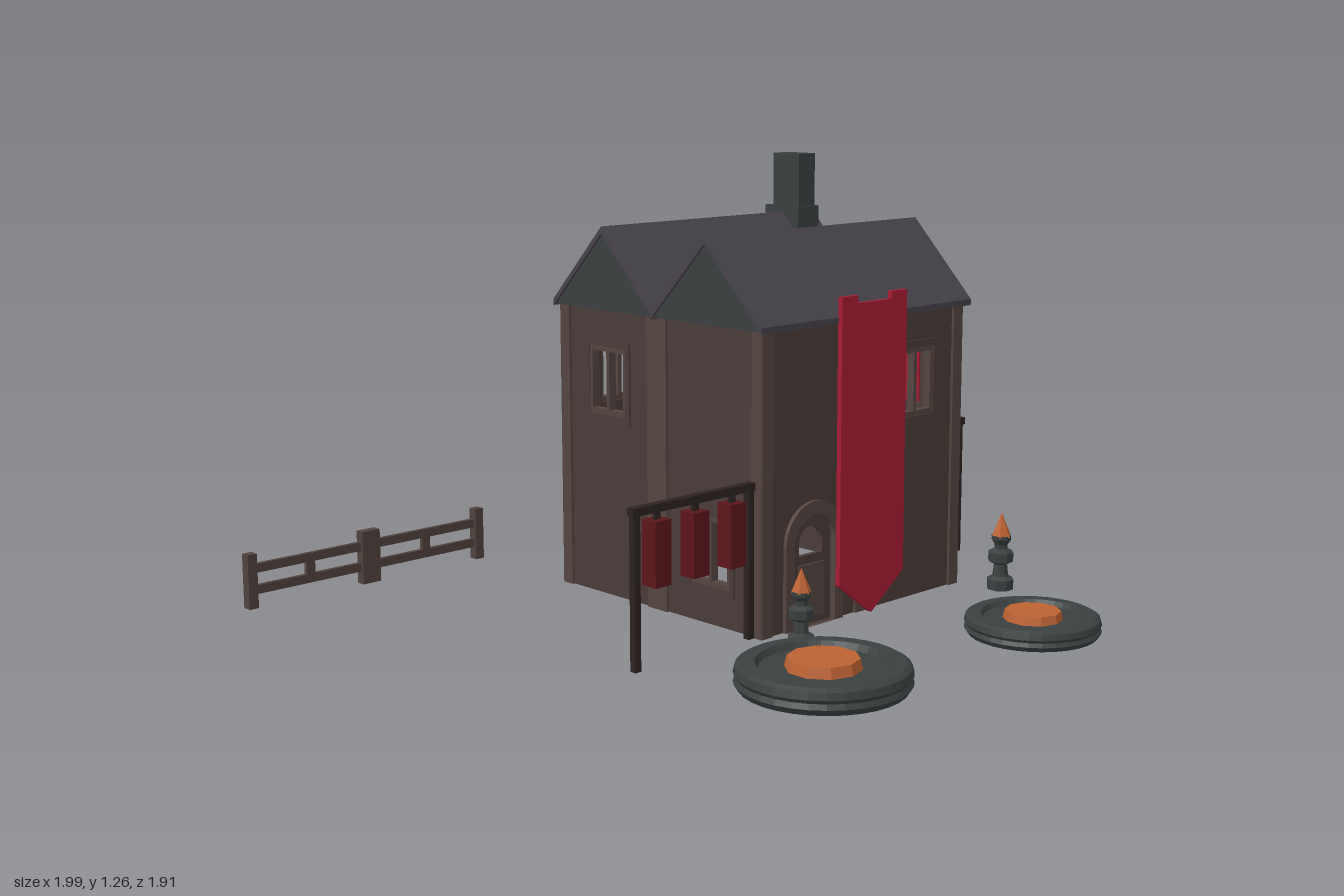
import * as THREE from 'three';

const mat = (color) => new THREE.MeshStandardMaterial({ color, flatShading: true, side: THREE.DoubleSide });
const WALL = mat(0x4a3c39), TRIM = mat(0x54443f), ROOF = mat(0x47424a), STONE = mat(0x3a3f40), DARK = mat(0x2b2221);
const RED = mat(0xa81c35), FLAG = mat(0x5c161b), FIRE = mat(0xbc6233), FENCE = mat(0x50423f);

function add(parent, name, geo, material, x = 0, y = 0, z = 0) {
  const m = new THREE.Mesh(geo, material);
  m.name = name;
  m.position.set(x, y, z);
  parent.add(m);
  return m;
}
function group(parent, name, x = 0, y = 0, z = 0, ry = 0) {
  const g = new THREE.Group();
  g.name = name;
  g.position.set(x, y, z);
  g.rotation.y = ry;
  parent.add(g);
  return g;
}
const box = (w, h, d) => new THREE.BoxGeometry(w, h, d);
const poly = (pts) => new THREE.Shape(pts.map(([x, y]) => new THREE.Vector2(x, y)));
const extrude = (shape, depth) => new THREE.ExtrudeGeometry(shape, { depth, bevelEnabled: false, curveSegments: 8 });
const rect = (cx, cy, w, h) => poly([[cx - w / 2, cy - h / 2], [cx + w / 2, cy - h / 2], [cx + w / 2, cy + h / 2], [cx - w / 2, cy + h / 2]]);

// Round-topped outline: half width r, from y0 up to the springing line y1
function arch(cx, r, y0, y1) {
  const s = new THREE.Shape();
  s.moveTo(cx - r, y0);
  s.lineTo(cx + r, y0);
  s.lineTo(cx + r, y1);
  s.absarc(cx, y1, r, 0, Math.PI, false);
  s.closePath();
  return s;
}
function withHole(shape, ...holes) {
  shape.holes.push(...holes);
  return shape;
}

// Two-light window with stepped surround and central mullion
function addWindow(parent, u, y, curtain) {
  const g = group(parent, 'window', u, y, 0);
  add(g, 'windowSurround', extrude(withHole(rect(0, 0, 0.19, 0.24), rect(0, 0, 0.155, 0.2)), 0.014), WALL, 0, 0, -0.008);
  add(g, 'windowFrame', extrude(withHole(rect(0, 0, 0.16, 0.205), rect(-0.036, 0, 0.06, 0.17), rect(0.036, 0, 0.06, 0.17)), 0.025), TRIM, 0, 0, -0.022);
  if (curtain) add(g, 'curtain', box(0.15, 0.19, 0.006), RED, 0, 0, -0.03);
}

// One wall: openings at u, each { u, y } for a window or { u, door: true }
function addWall(parent, name, x, z, ry, width, openings) {
  const g = group(parent, name, x, 0, z, ry);
  const holes = openings.map((o) => (o.door ? arch(o.u, 0.09, 0.003, 0.235) : rect(o.u, o.y, 0.155, 0.2)));
  add(g, 'wallPanel', extrude(withHole(rect(0, 0.43, width, 0.86), ...holes), 0.03), WALL, 0, 0, -0.03);
  for (const s of [-1, 1]) add(g, 'cornerStrip', box(0.04, 0.85, 0.016), TRIM, s * (width / 2 - 0.014), 0.425, 0);
  add(g, 'middlePilaster', box(0.08, 0.86, 0.016), TRIM, 0, 0.43, 0);
  for (const o of openings) {
    if (!o.door) addWindow(g, o.u, o.y, o.curtain);
    else {
      add(g, 'doorSurround', extrude(withHole(arch(o.u, 0.115, 0, 0.24), arch(o.u, 0.082, 0.001, 0.235)), 0.03), TRIM, 0, 0, -0.018);
      add(g, 'door', extrude(withHole(arch(o.u, 0.09, 0, 0.235), arch(o.u, 0.046, 0.2, 0.235)), 0.015), WALL, 0, 0, -0.022);
      add(g, 'doorPanel', box(0.1, 0.15, 0.01), TRIM, o.u, 0.1, -0.006);
    }
  }
}

// Bar on two posts with three hanging flags, running along local x
function addFlagRack(parent, name, x, z, ry, length, postSpan, flags) {
  const g = group(parent, name, x, 0, z, ry);
  add(g, 'bar', box(length, 0.022, 0.024), DARK, 0, 0.422, 0);
  for (const s of [-1, 1]) add(g, 'post', box(0.02, 0.42, 0.02), DARK, s * postSpan / 2, 0.21, 0);
  for (const u of flags) {
    add(g, 'flag', box(0.055, 0.175, 0.052), FLAG, u, 0.303, 0);
    add(g, 'flagTie', box(0.02, 0.03, 0.01), DARK, u, 0.4, 0);
  }
}

// Round fire pit with recessed top and ember disc
function addFirePit(parent, x, z, r, h) {
  const g = group(parent, 'firePit', x, 0, z);
  const profile = [[0, 0], [0.95, 0], [1, 0.25], [0.97, 0.45], [1, 0.6], [0.98, 0.88], [0.92, 1], [0.76, 1], [0.72, 0.75], [0, 0.75]];
  add(g, 'stoneRing', new THREE.LatheGeometry(profile.map(([a, b]) => new THREE.Vector2(a * r, b * h)), 32), STONE);
  add(g, 'embers', new THREE.CylinderGeometry(r * 0.41, r * 0.44, h * 0.45, 10), FIRE, 0, h * 0.95, 0);
}

// Standing brazier with pointed flame
function addBrazier(parent, x, z, s) {
  const g = group(parent, 'brazier', x, 0, z);
  g.scale.setScalar(s);
  const pts = [[0, 0], [0.04, 0], [0.04, 0.03], [0.024, 0.04], [0.02, 0.075], [0.038, 0.085], [0.038, 0.112], [0.02, 0.122], [0.02, 0.135], [0.03, 0.15], [0.03, 0.162], [0, 0.162]];
  add(g, 'brazierStand', new THREE.LatheGeometry(pts.map(([a, b]) => new THREE.Vector2(a, b)), 8, Math.PI / 8), STONE);
  add(g, 'flame', new THREE.ConeGeometry(0.031, 0.072, 6), FIRE, 0, 0.194, 0);
}

export function createModel() {
  const model = new THREE.Group();
  model.name = 'house';
  const cx = 0.255, cz = -0.12, low = 0.21, high = 0.635, d = 0.212, w = 0.82;

  // Walls, open underneath
  addWall(model, 'frontWall', cx, cz + w / 2, 0, w, [{ u: -d, door: true }, { u: d, y: high }]);
  addWall(model, 'rightWall', cx + w / 2, cz, Math.PI / 2, w, [{ u: -d, y: high, curtain: true }, { u: d, y: low }]);
  addWall(model, 'backWall', cx, cz - w / 2, Math.PI, w, [{ u: -d, y: low }, { u: d, y: high }]);
  addWall(model, 'leftWall', cx - w / 2, cz, -Math.PI / 2, w, [{ u: -d, y: high }, { u: d, y: low }]);

  // Twin gabled roof
  for (const z of [0.094, -0.328]) {
    const g = group(model, 'roof', cx, 0, z, Math.PI / 2);
    const h = 0.217;
    add(g, 'roofSlopes', extrude(poly([[-h, 0.838], [-h, 0.856], [0, 1.082], [h, 0.856], [h, 0.838], [0, 1.062]]), 0.872), ROOF, 0, 0, -0.436);
    add(g, 'gable', extrude(poly([[-h + 0.004, 0.842], [h - 0.004, 0.842], [0, 1.066]]), 0.856), STONE, 0, 0, -0.428);
  }

  // Chimney
  add(model, 'chimneyBase', box(0.09, 0.2, 0.14), STONE, 0.6, 1.0, -0.328);
  add(model, 'chimneyStack', box(0.07, 0.24, 0.11), STONE, 0.605, 1.14, -0.325);

  // Long front banner with notched top and pointed foot
  add(model, 'banner', extrude(poly([[0.12, 0.1], [0.255, 0], [0.39, 0.1], [0.39, 0.912], [0.325, 0.912], [0.325, 0.89], [0.185, 0.89], [0.185, 0.912], [0.12, 0.912]]), 0.015), RED, 0, 0, 0.308);

  // Flag racks beside the house
  addFlagRack(model, 'leftFlagRack', -0.38, 0.26, 0, 0.44, 0.41, [-0.13, 0.005, 0.14]);
  addFlagRack(model, 'rightFlagRack', 0.967, -0.16, Math.PI / 2, 0.46, 0.425, [-0.135, 0, 0.135]);

  addFirePit(model, -0.33, 0.68, 0.228, 0.068);
  addFirePit(model, 0.42, 0.765, 0.187, 0.055);
  addBrazier(model, -0.122, 0.405, 0.94);
  addBrazier(model, 0.715, 0.425, 1);

  // Rear fence
  const fence = group(model, 'fence', -0.583, 0, -0.942);
  for (const [u, pw] of [[-0.402, 0.03], [0, 0.062], [0.402, 0.03]]) add(fence, 'fencePost', box(pw, 0.16, 0.03), FENCE, u, 0.08, 0);
  for (const y of [0.052, 0.115]) add(fence, 'fenceRail', box(0.8, 0.026, 0.014), FENCE, 0, y, 0);
  for (const s of [-1, 1]) add(fence, 'fenceBrace', box(0.028, 0.05, 0.014), FENCE, s * 0.205, 0.083, 0);
  return model;
}
